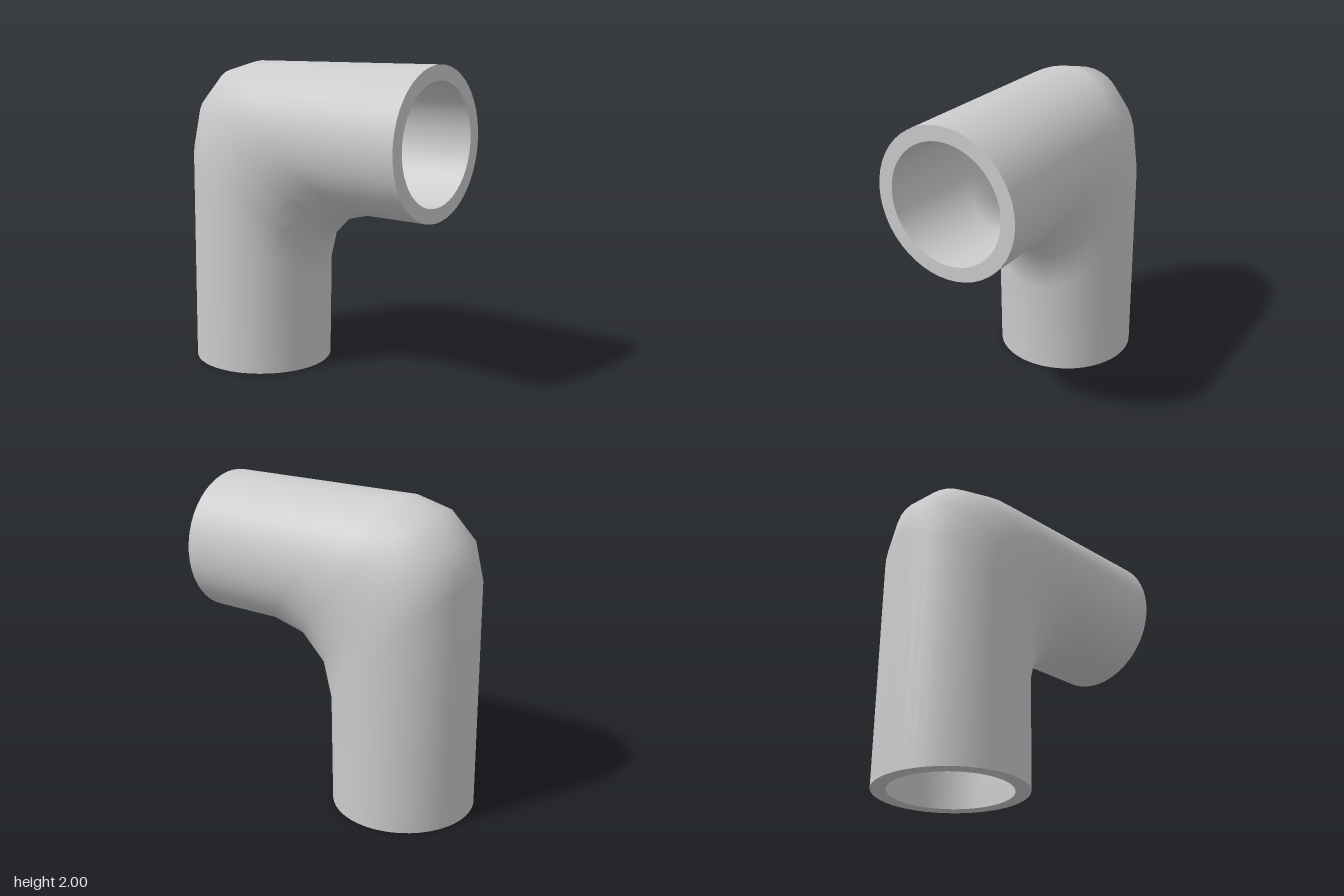
import * as THREE from 'three';

const SIDES = 48;
const OUTER = 0.46, INNER = 0.37;

// Ring centres along the pipe: [y, z, how far the ring rises, how far it leans back]
// The mouth is upright, the base lies flat, and the bend rings lean at 45 degrees.
const PATH = [
  [1.54, 0.915, 1, 0],
  [1.535, 0.015, 0.995, 0.995],
  [1.475, -0.215, 0.995, 0.995],
  [1.31, -0.38, 0.995, 0.995],
  [1.075, -0.44, 0.995, 0.995],
  [0, -0.45, 0, 1],
];

function ring([cy, cz, rise, lean], r) {
  return Array.from({ length: SIDES }, (_, j) => {
    const a = (j / SIDES) * Math.PI * 2;
    const s = r * Math.sin(a);
    return [r * Math.cos(a), cy + rise * s, cz - lean * s];
  });
}

// Smooth skin stretched over consecutive closed rings
function skin(name, rings, material) {
  const index = [];
  for (let i = 0; i < rings.length - 1; i++) {
    for (let j = 0; j < SIDES; j++) {
      const k = (j + 1) % SIDES;
      const a = i * SIDES + j, b = i * SIDES + k;
      const c = a + SIDES, d = b + SIDES;
      index.push(a, c, b, b, c, d);
    }
  }
  const geo = new THREE.BufferGeometry();
  geo.setAttribute('position', new THREE.Float32BufferAttribute(rings.flat(2), 3));
  geo.setIndex(index);
  geo.computeVertexNormals();
  const mesh = new THREE.Mesh(geo, material);
  mesh.name = name;
  return mesh;
}

export function createModel() {
  const group = new THREE.Group();
  group.name = 'pipeElbow';
  const material = new THREE.MeshStandardMaterial({ color: 0xcccccc });

  const outer = PATH.map((p) => ring(p, OUTER));
  const inner = PATH.map((p) => ring(p, INNER));
  const last = PATH.length - 1;

  group.add(
    skin('outerWall', outer, material),
    skin('innerWall', [...inner].reverse(), material),
    skin('mouthRim', [inner[0], outer[0]], material),
    skin('baseRim', [outer[last], inner[last]], material),
  );
  return group;
}
